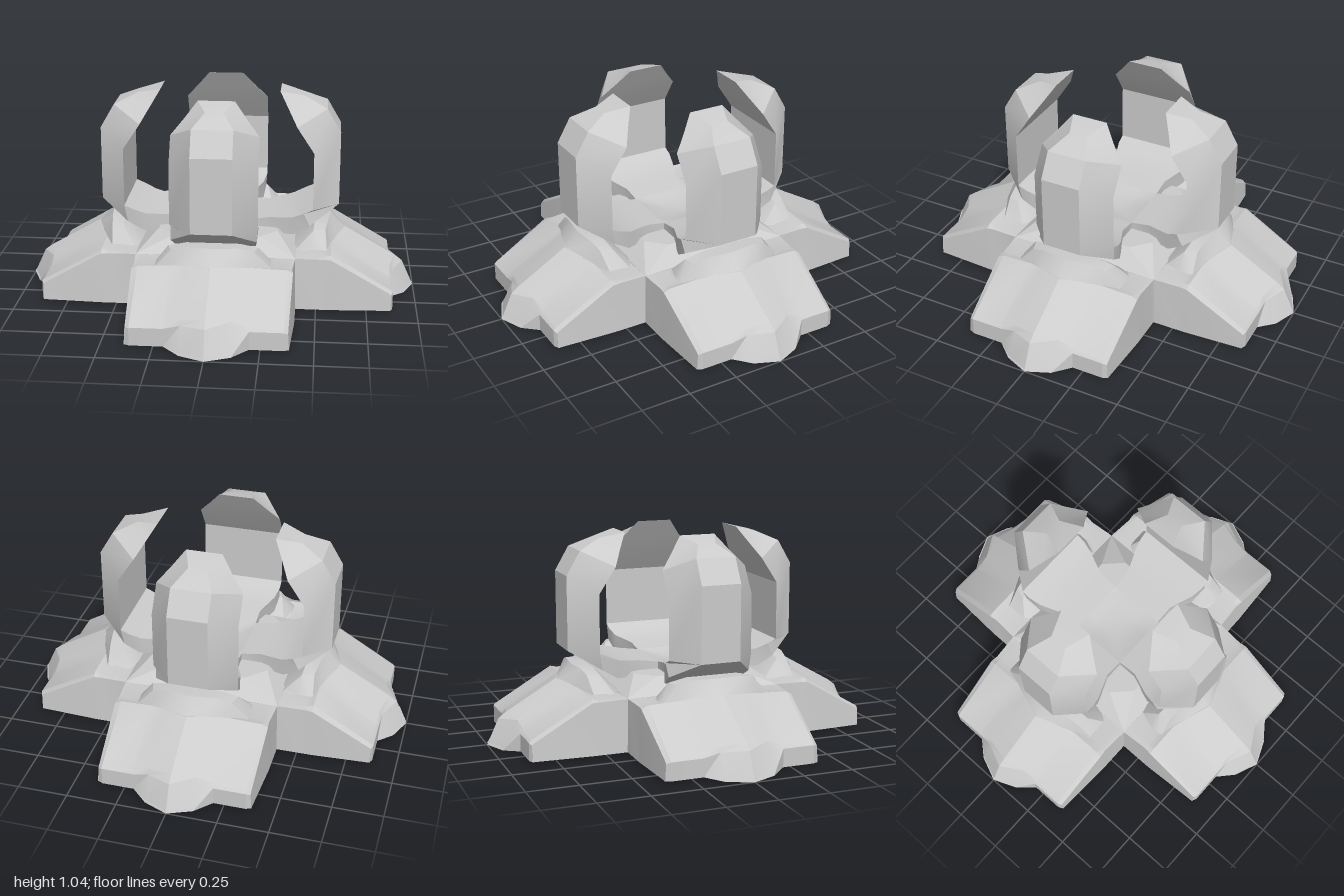
import * as THREE from 'three';
import { toCreasedNormals } from 'three/addons/utils/BufferGeometryUtils.js';
import { ConvexGeometry } from 'three/addons/geometries/ConvexGeometry.js';

const material = new THREE.MeshStandardMaterial({ color: 0xcccccc, side: THREE.DoubleSide });

// Skin rows of [x, y, z] points that all have the same length
function skin(rows) {
  const n = rows[0].length, index = [];
  for (let i = 0; i < rows.length - 1; i++) {
    for (let j = 0; j < n - 1; j++) {
      const a = i * n + j, d = a + n;
      index.push(a, a + 1, d + 1, a, d + 1, d);
    }
  }
  const g = new THREE.BufferGeometry();
  g.setAttribute('position', new THREE.Float32BufferAttribute(rows.flat(2), 3));
  g.setIndex(index);
  return toCreasedNormals(g, 0.4);
}

// Mirror a half row, listed from the centre line outward, across x = 0
function mirrorRow(half) {
  const left = half.slice(1).reverse().map(([x, y, z]) => [-x, y, z]);
  return [...left, ...half];
}

function mesh(geometry, name) {
  const m = new THREE.Mesh(geometry, material);
  m.name = name;
  return m;
}

// Sloping foot: central ridge, shallow gutters, flat wings and side skirts
const footRows = [
  [[0, 0, 1], [0.12, 0, 0.95], [0.2, 0.01, 0.88], [0.36, 0.01, 0.88], [0.38, 0.01, 0.87], [0.385, 0.01, 0.87]],
  [[0, 0.13, 0.94], [0.12, 0.12, 0.885], [0.2, 0.1, 0.88], [0.36, 0.1, 0.88], [0.38, 0.09, 0.87], [0.385, 0.01, 0.87]],
  [[0, 0.16, 0.9], [0.12, 0.145, 0.87], [0.2, 0.115, 0.865], [0.36, 0.11, 0.87], [0.38, 0.1, 0.86], [0.385, 0.01, 0.86]],
  [[0, 0.31, 0.64], [0.12, 0.305, 0.6], [0.2, 0.29, 0.57], [0.36, 0.285, 0.57], [0.39, 0.27, 0.57], [0.4, 0.01, 0.57]],
  [[0, 0.28, 0.53], [0.12, 0.28, 0.53], [0.2, 0.275, 0.53], [0.36, 0.275, 0.53], [0.385, 0.27, 0.53], [0.4, 0.01, 0.53]],
  [[0, 0.27, 0.38], [0.12, 0.27, 0.38], [0.2, 0.27, 0.38], [0.36, 0.275, 0.38], [0.395, 0.275, 0.39], [0.4, 0.01, 0.39]]
];

// Raised collar at the top of each foot
const collarRows = [
  [[0, 0.3, 0.645], [0.13, 0.3, 0.6], [0.21, 0.27, 0.57], [0.28, 0.27, 0.55]],
  [[0, 0.38, 0.565], [0.13, 0.38, 0.55], [0.2, 0.36, 0.54], [0.28, 0.28, 0.53]],
  [[0, 0.38, 0.485], [0.13, 0.38, 0.485], [0.22, 0.36, 0.48], [0.28, 0.28, 0.48]],
  [[0, 0.28, 0.385], [0.2, 0.28, 0.385], [0.25, 0.275, 0.4], [0.28, 0.27, 0.42]]
];

// Claw sections: outer [z, y, half width], inner [z, y, half width]
const clawSections = [
  [[0.15, 0.31, 0.15], [0.15, 0.385, 0.15]],
  [[0.25, 0.32, 0.15], [0.25, 0.4, 0.15]],
  [[0.38, 0.33, 0.2], [0.37, 0.42, 0.2]],
  [[0.46, 0.38, 0.21], [0.43, 0.445, 0.215]],
  [[0.605, 0.465, 0.1], [0.475, 0.465, 0.215]],
  [[0.605, 0.84, 0.1], [0.475, 0.76, 0.215]],
  [[0.535, 0.96, 0.1], [0.39, 0.89, 0.215]],
  [[0.42, 1.012, 0.045], [0.345, 0.965, 0.15]],
  [[0.3, 1.04, 0.09], [0.3, 1.04, 0.09]]
];

function clawGeometry() {
  return skin(clawSections.map(([[zo, yo, wo], [zi, yi, wi]]) => [
    [-wo, yo, zo], [wo, yo, zo], [wi, yi, zi], [-wi, yi, zi], [-wo, yo, zo]
  ]));
}

// Octagonal top standing on a square block
function hubGeometry() {
  const points = [];
  for (const sx of [-1, 1]) {
    for (const sz of [-1, 1]) {
      for (const [x, y, z] of [[0.395, 0.01, 0.395], [0.395, 0.275, 0.395], [0.3, 0.35, 0.21], [0.21, 0.35, 0.3]]) {
        points.push(new THREE.Vector3(sx * x, y, sz * z));
      }
    }
  }
  return new ConvexGeometry(points);
}

// Shallow bowl joining the claw roots
function bowlGeometry() {
  const g = new THREE.PlaneGeometry(0.3, 0.3, 6, 6).rotateX(-Math.PI / 2);
  const p = g.attributes.position;
  for (let i = 0; i < p.count; i++) {
    const e = Math.max(Math.abs(p.getX(i)), Math.abs(p.getZ(i))) / 0.15;
    p.setY(i, 0.36 + 0.025 * e * e);
  }
  g.computeVertexNormals();
  return g;
}

// Flat underside following the outline of all four feet
function undersideGeometry() {
  const edge = mirrorRow([[0, 0, 1], [0.12, 0, 0.95], [0.2, 0, 0.88], [0.385, 0, 0.87], [0.4, 0, 0.4]]);
  const outline = [];
  for (let k = 0; k < 4; k++) {
    const c = Math.cos(k * Math.PI / 2), s = Math.sin(k * Math.PI / 2);
    edge.slice(0, -1).forEach(([x, , z]) => outline.push(new THREE.Vector2(x * c + z * s, -x * s + z * c)));
  }
  const g = new THREE.ShapeGeometry(new THREE.Shape(outline));
  return g.rotateX(Math.PI / 2).translate(0, 0.01, 0);
}

export function createModel() {
  const model = new THREE.Group();
  model.name = 'clawPedestal';
  model.add(mesh(hubGeometry(), 'hub'), mesh(bowlGeometry(), 'bowl'), mesh(undersideGeometry(), 'underside'));

  // Four identical quarters around the hub
  const foot = skin(footRows.map(mirrorRow));
  const collar = skin(collarRows.map(mirrorRow));
  const claw = clawGeometry();
  ['front', 'left', 'back', 'right'].forEach((side, k) => {
    const quarter = new THREE.Group();
    quarter.name = side + 'Quarter';
    quarter.add(mesh(foot, side + 'Foot'), mesh(collar, side + 'Collar'), mesh(claw, side + 'Claw'));
    quarter.rotation.y = k * Math.PI / 2;
    model.add(quarter);
  });
  return model;
}
